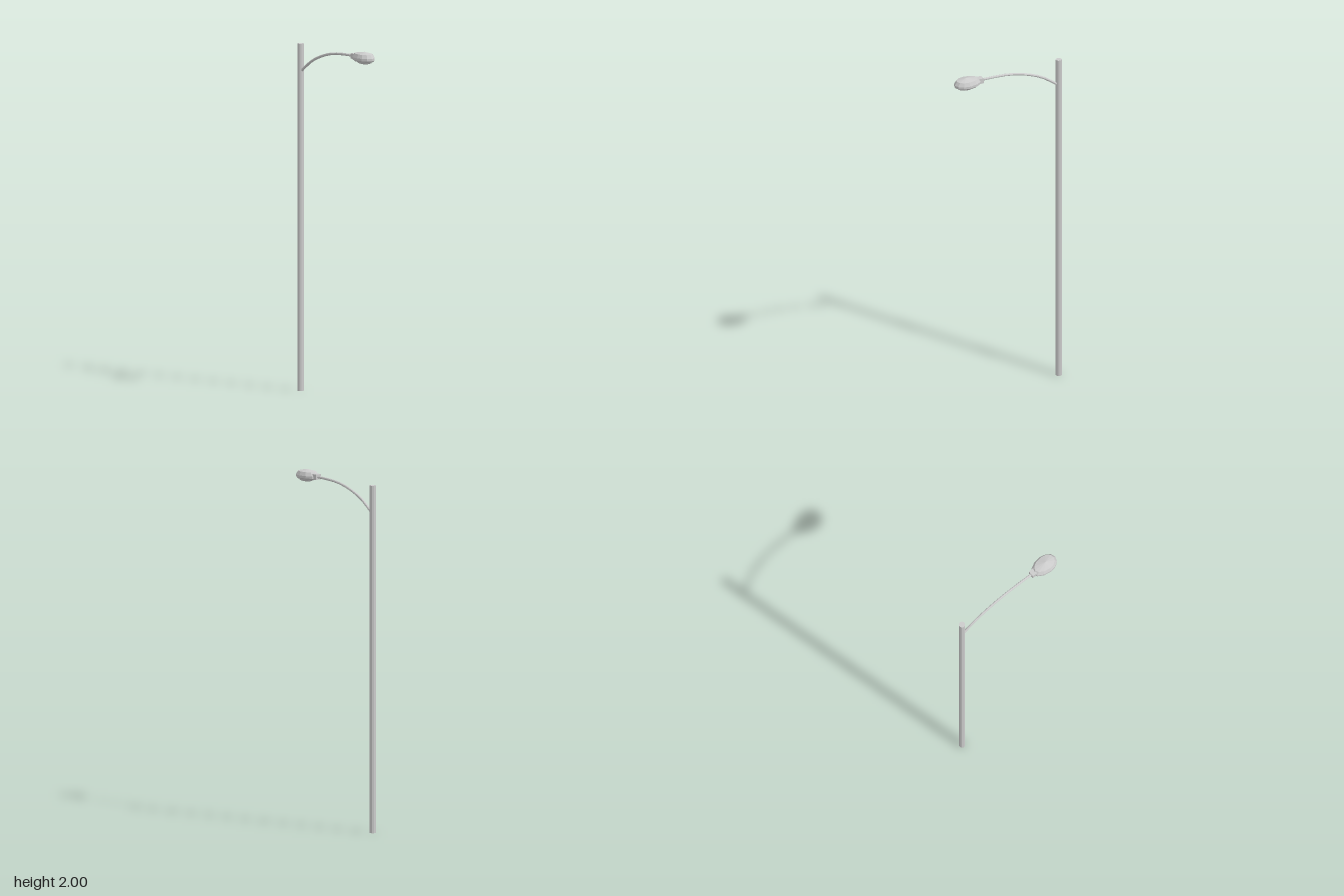
import * as THREE from 'three';

const material = new THREE.MeshStandardMaterial({ color: 0xcccccc, flatShading: true });

function addMesh(parent, name, geometry) {
  const mesh = new THREE.Mesh(geometry, material);
  mesh.name = name;
  parent.add(mesh);
  return mesh;
}

// Twelve-sided teardrop: a lathe stretched more to the back than to the front
function teardrop(profile) {
  const geometry = new THREE.LatheGeometry(profile.map(([r, y]) => new THREE.Vector2(r, y)), 12);
  const p = geometry.attributes.position;
  for (let i = 0; i < p.count; i++) {
    const z = p.getZ(i);
    p.setZ(i, z * (z > 0 ? 1.365 : 1.77));
  }
  geometry.computeVertexNormals();
  return geometry;
}

export function createModel() {
  const model = new THREE.Group();
  model.name = 'streetLamp';

  // Upright pole
  const pole = addMesh(model, 'pole',
    new THREE.CylinderGeometry(0.018, 0.018, 1.975, 10).rotateY(Math.PI / 2));
  pole.position.set(0, 0.9875, -0.325);

  // Curved arm from the pole to the lamp
  const path = new THREE.CatmullRomCurve3([
    [1.818, -0.32], [1.888, -0.22], [1.931, -0.115],
    [1.954, -0.02], [1.963, 0.085], [1.965, 0.18],
  ].map(([y, z]) => new THREE.Vector3(0, y, z)));
  addMesh(model, 'arm', new THREE.TubeGeometry(path, 10, 0.0075, 8));

  // Lamp head
  const head = new THREE.Group();
  head.name = 'lampHead';
  head.position.set(0, 1.965, 0.27);
  model.add(head);

  addMesh(head, 'housing', teardrop([
    [0, -0.02], [0.043, -0.02], [0.052, -0.011], [0.052, 0.002], [0.042, 0.023], [0, 0.035],
  ]));

  // Shallow bowl under the housing
  const lens = addMesh(head, 'lens', new THREE.LatheGeometry(
    [[0, -0.035], [0.022, -0.033], [0.034, -0.027], [0.038, -0.018]]
      .map(([r, y]) => new THREE.Vector2(r, y)), 12));
  lens.scale.z = 1.45;

  // Square collar that grips the arm
  const collar = addMesh(head, 'collar', new THREE.BoxGeometry(0.036, 0.03, 0.06));
  collar.position.z = -0.075;

  return model;
}
